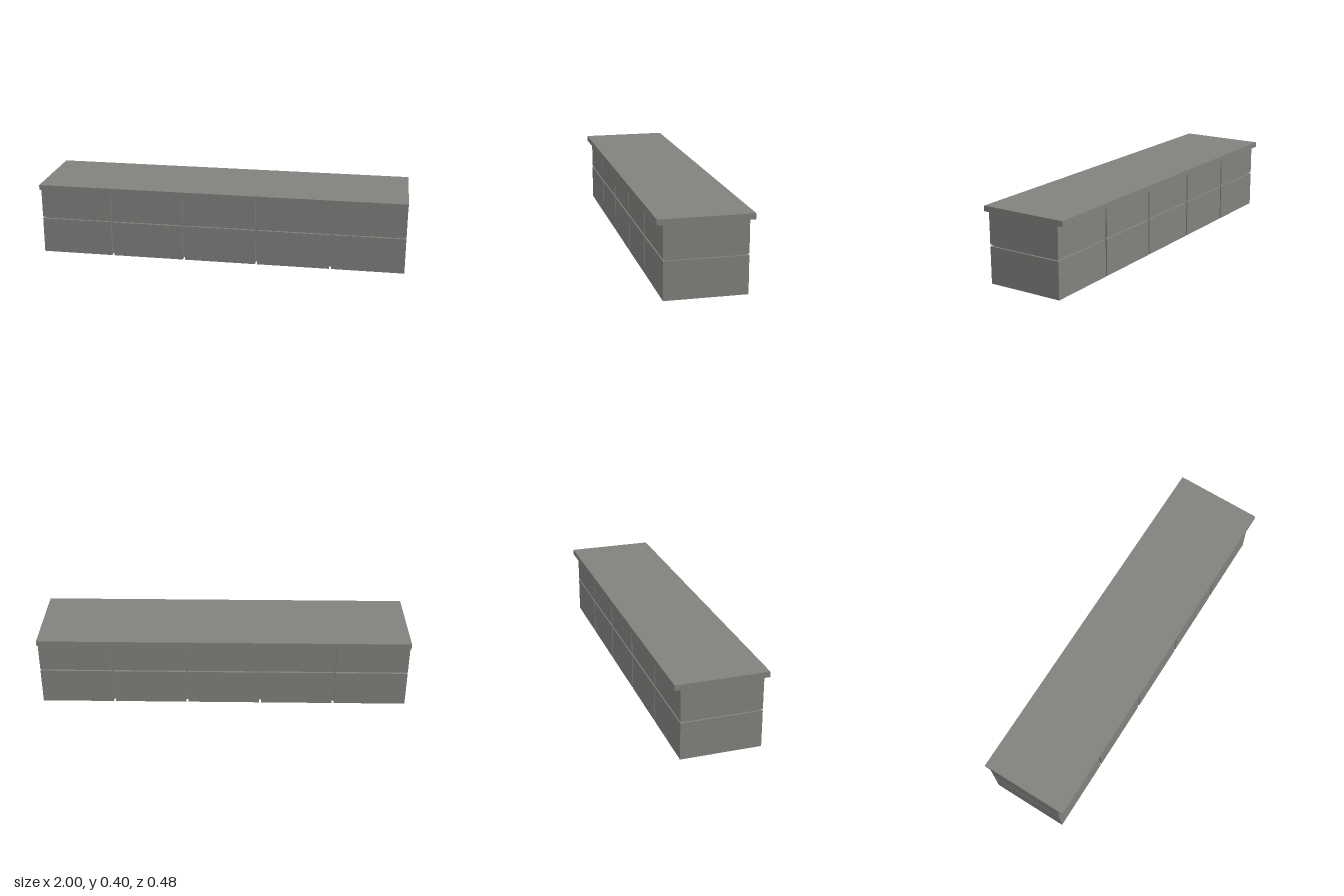
import * as THREE from 'three';

export function createModel() {
  const model = new THREE.Group();
  model.name = 'stoneBlockWall';
  const stone = new THREE.MeshStandardMaterial({ color: 0x80827d });
  stone.name = 'grey stone';

  // Box given by its centre x, bottom and top heights, width and depth
  function addBox(name, x, bottom, top, width, depth) {
    const mesh = new THREE.Mesh(new THREE.BoxGeometry(width, top - bottom, depth), stone);
    mesh.name = name;
    mesh.position.set(x, (bottom + top) / 2, 0);
    model.add(mesh);
  }

  // Recessed core seen through the joints
  addBox('core', 0, 0.01, 0.372, 1.98, 0.396);

  // Two courses of five blocks, with narrow joints between them
  const count = 5, joint = 0.011;
  const width = (2 - joint * (count - 1)) / count;
  for (let i = 0; i < count; i++) {
    const x = (i - (count - 1) / 2) * (width + joint);
    addBox(`lowerBlock${i + 1}`, x, 0, 0.196, width, 0.42);
    addBox(`upperBlock${i + 1}`, x, 0.205, 0.371, width, 0.42);
  }

  // Overhanging coping slab
  addBox('copingSlab', 0, 0.371, 0.4, 2, 0.48);
  return model;
}
